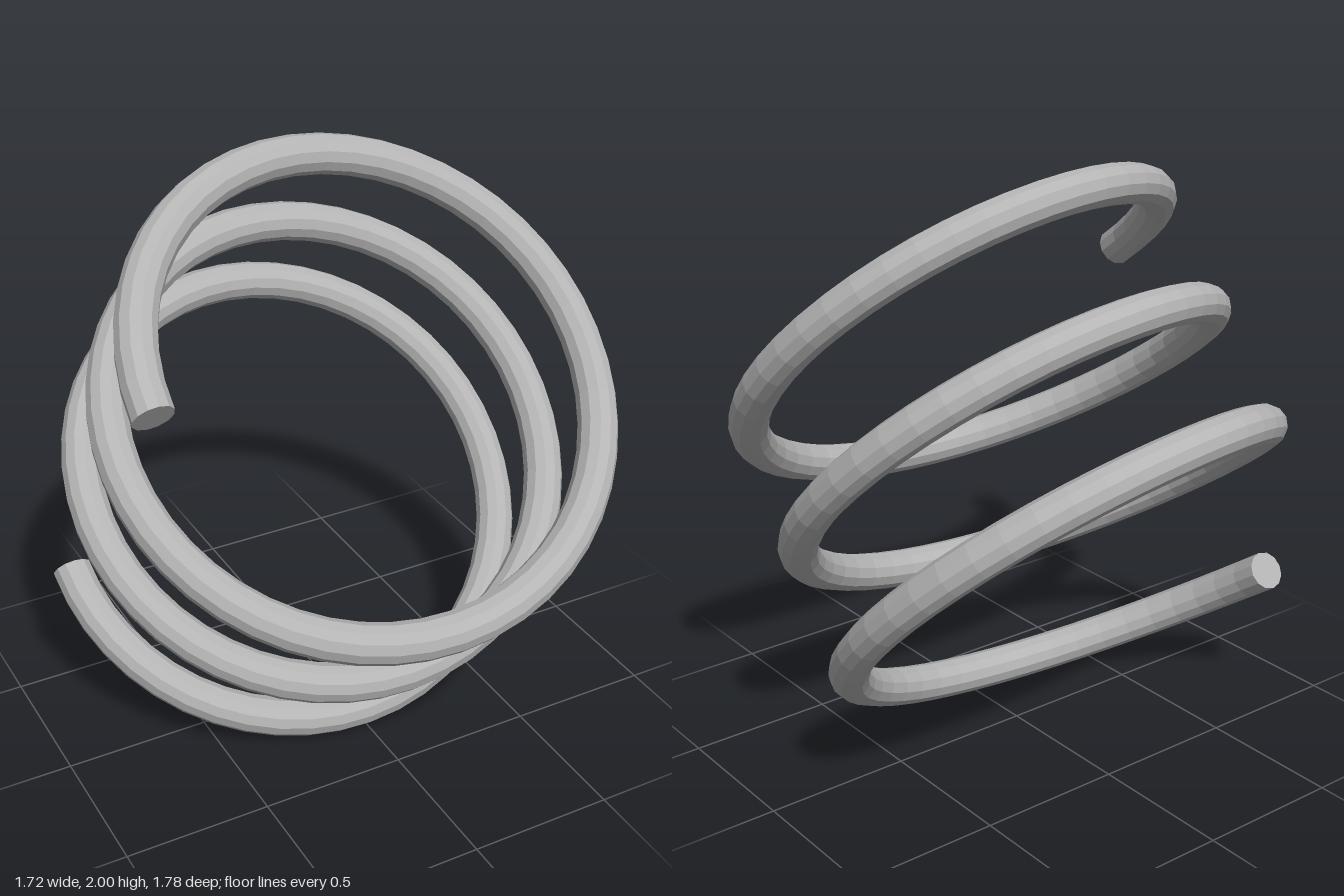
import * as THREE from 'three';

const TURNS = 3, RADIUS = 0.795, WIRE = 0.067, LENGTH = 1.315, SIDES = 12;
const TILT = THREE.MathUtils.degToRad(40);

// Helix about a vertical axis, leaned toward the front and centred at y = 1
class CoilCurve extends THREE.Curve {
  getPoint(t, target = new THREE.Vector3()) {
    const a = t * TURNS * Math.PI * 2;
    return target
      .set(-RADIUS * Math.cos(a), LENGTH * (t - 0.5), RADIUS * Math.sin(a))
      .applyAxisAngle(new THREE.Vector3(1, 0, 0), TILT)
      .add(new THREE.Vector3(0, 1, 0));
  }
}

export function createModel() {
  const group = new THREE.Group();
  group.name = 'coilSpring';
  const steel = new THREE.MeshStandardMaterial({ color: 0xb4b4b4, flatShading: true });
  steel.name = 'steel grey';

  // Round wire
  const curve = new CoilCurve();
  const tube = new THREE.TubeGeometry(curve, 144, WIRE, SIDES, false);
  const wire = new THREE.Mesh(tube, steel);
  wire.name = 'coilWire';
  group.add(wire);

  // Flat cut ends, aligned with the wire's end rings
  for (const [name, i, s] of [['lowerEnd', 0, -1], ['upperEnd', 144, 1]]) {
    const basis = new THREE.Matrix4().makeBasis(
      tube.normals[i].clone(),
      tube.binormals[i].clone().multiplyScalar(s),
      tube.tangents[i].clone().multiplyScalar(s)
    );
    basis.setPosition(curve.getPointAt(i / 144));
    const cap = new THREE.Mesh(new THREE.CircleGeometry(WIRE, SIDES).applyMatrix4(basis), steel);
    cap.name = name;
    group.add(cap);
  }
  return group;
}
